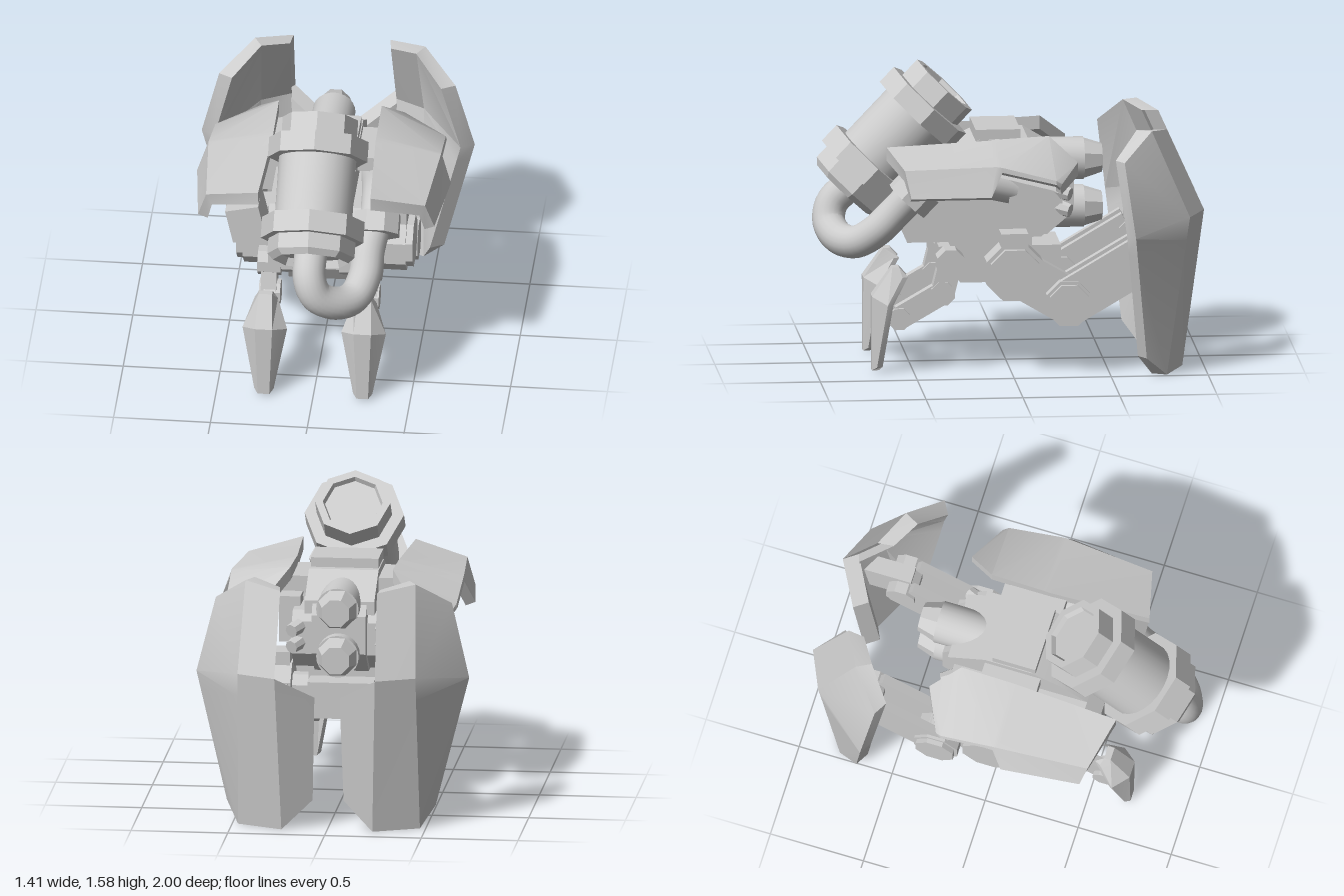
import * as THREE from 'three';
import { toCreasedNormals } from 'three/addons/utils/BufferGeometryUtils.js';

const OCT = 1 / Math.cos(Math.PI / 8); // flat-to-flat radius -> corner radius

export function createModel() {
  const model = new THREE.Group();
  const grey = new THREE.MeshStandardMaterial({ color: 0xcccccc });

  const add = (name, geo, parent = model) => {
    const mesh = new THREE.Mesh(toCreasedNormals(geo, 0.4), grey);
    mesh.name = name;
    parent.add(mesh);
  };

  // Mirror across x = 0 and restore the corner order
  const mirror = (geo) => {
    const g = geo.index ? geo.toNonIndexed() : geo.clone();
    g.scale(-1, 1, 1);
    const p = g.attributes.position;
    const a = new THREE.Vector3(), b = new THREE.Vector3();
    for (let i = 0; i < p.count; i += 3) {
      a.fromBufferAttribute(p, i + 1);
      b.fromBufferAttribute(p, i + 2);
      p.setXYZ(i + 1, b.x, b.y, b.z);
      p.setXYZ(i + 2, a.x, a.y, a.z);
    }
    return g;
  };
  const pair = (name, geo) => {
    add(name + 'Left', geo);
    add(name + 'Right', mirror(geo));
  };

  const box = (x0, x1, y0, y1, z0, z1) =>
    new THREE.BoxGeometry(x1 - x0, y1 - y0, z1 - z0).translate((x0 + x1) / 2, (y0 + y1) / 2, (z0 + z1) / 2);

  // Octagonal pin lying along x
  const pin = (x0, x1, y, z, r) =>
    new THREE.CylinderGeometry(r * OCT, r * OCT, x1 - x0, 8).rotateY(Math.PI / 8)
      .rotateZ(Math.PI / 2).translate((x0 + x1) / 2, y, z);

  // Flat bar between two [y, z] points
  const bar = (x0, x1, [y0, z0], [y1, z1], w) =>
    new THREE.BoxGeometry(x1 - x0, w, Math.hypot(y1 - y0, z1 - z0))
      .rotateX(Math.atan2(y0 - y1, z1 - z0))
      .translate((x0 + x1) / 2, (y0 + y1) / 2, (z0 + z1) / 2);

  // Faceted armour sheet: a grid of points, thickened by one offset per column
  const shell = (grid, offsets) => {
    const back = grid.map((row) => row.map((p, j) => p.map((v, k) => v + offsets[j][k])));
    const out = [];
    const quad = (a, b, c, d) => out.push(...a, ...b, ...d, ...b, ...c, ...d);
    const n = grid.length - 1, m = grid[0].length - 1;
    for (let i = 0; i < n; i++) for (let j = 0; j < m; j++) {
      quad(grid[i][j], grid[i][j + 1], grid[i + 1][j + 1], grid[i + 1][j]);
      quad(back[i][j + 1], back[i][j], back[i + 1][j], back[i + 1][j + 1]);
    }
    const rim = [];
    for (let j = 0; j < m; j++) rim.push([0, j]);
    for (let i = 0; i < n; i++) rim.push([i, m]);
    for (let j = m; j > 0; j--) rim.push([n, j]);
    for (let i = n; i > 0; i--) rim.push([i, 0]);
    rim.forEach(([i, j], k) => {
      const [u, v] = rim[(k + 1) % rim.length];
      quad(grid[u][v], grid[i][j], back[i][j], back[u][v]);
    });
    const g = new THREE.BufferGeometry();
    g.setAttribute('position', new THREE.Float32BufferAttribute(out, 3));
    return g;
  };

  // Extrude a [z, y] side profile across the width
  const slab = (profile, halfWidth) => {
    const s = new THREE.Shape(profile.map(([z, y]) => new THREE.Vector2(-z, y)));
    return new THREE.ExtrudeGeometry(s, { depth: halfWidth * 2, bevelEnabled: false })
      .translate(0, 0, -halfWidth).rotateY(Math.PI / 2);
  };

  // Body
  add('lowerBody', slab([[0.53, 0.73], [0.53, 0.93], [0.45, 1], [-0.22, 1], [-0.27, 0.95],
    [-0.27, 0.78], [-0.16, 0.69], [0.1, 0.69]], 0.25));
  add('upperBody', slab([[0.45, 1], [0.3, 1.12], [0.15, 1.19], [-0.1, 1.19], [-0.3, 1.07], [-0.3, 1]], 0.18));
  add('rearCore', slab([[0, 1.1], [-0.28, 1.08], [-0.34, 1], [-0.34, 0.8], [-0.2, 0.68], [0, 0.68]], 0.14));
  add('chinPlate', slab([[0.53, 0.67], [0.53, 0.73], [0.1, 0.73], [0.1, 0.67]], 0.25));
  add('neck', box(-0.18, 0.18, 0.6, 0.72, -0.12, 0.3));
  add('bellyBlock', slab([[0.36, 0.63], [0.25, 0.44], [-0.27, 0.44], [-0.27, 0.63]], 0.17));
  add('topHatch', box(-0.175, 0.175, 1.17, 1.24, -0.06, 0.17));
  pair('sideBox', box(0.22, 0.33, 0.81, 1.05, -0.14, 0.01));
  pair('shoulderMount', box(0.16, 0.34, 1.07, 1.15, -0.1, 0.2));

  // Rear thrusters
  for (const y of [1.05, 0.8]) {
    add('thruster', new THREE.CylinderGeometry(0.11, 0.11, 0.26, 24).rotateX(-Math.PI / 2).translate(0, y, -0.27));
    add('thrusterNozzle', new THREE.CylinderGeometry(0.07 * OCT, 0.1 * OCT, 0.1, 8).rotateY(Math.PI / 8)
      .rotateX(-Math.PI / 2).translate(0, y, -0.445));
  }
  for (const y of [0.92, 0.835]) {
    pair('sideNozzle', new THREE.CylinderGeometry(0.035, 0.045, 0.12, 8).rotateX(-Math.PI / 2 - 0.2)
      .rotateY(-0.5).translate(0.22, y, -0.26));
  }

  // Tilted canister, built downward from its top end
  const canister = new THREE.Group();
  canister.name = 'canister';
  canister.position.set(0, 1.445, 0.315);
  canister.rotation.x = -0.76;
  model.add(canister);
  const turned = (name, pts) => add(name, new THREE.LatheGeometry(
    pts.map(([r, d]) => new THREE.Vector2(r, -d)), 8), canister);
  add('canisterBarrel', new THREE.CylinderGeometry(0.2, 0.2, 0.5, 24).translate(0, -0.37, 0), canister);
  turned('canisterTop', [[0, 0.2], [0.195, 0.2], [0.195, 0], [0.155, 0], [0.145, 0.025], [0, 0.025]]);
  turned('upperCollar', [[0, 0.215], [0.257, 0.215], [0.257, 0.11], [0, 0.11]]);
  turned('lowerCollar', [[0, 0.64], [0.265, 0.64], [0.265, 0.53], [0, 0.53]]);
  turned('canisterBase', [[0, 0.71], [0.18, 0.71], [0.195, 0.75], [0.225, 0.72], [0.225, 0.6], [0, 0.6]]);

  // Feed hose looping from the canister to the left side
  const hosePath = new THREE.CatmullRomCurve3([
    [0, 0.95, 0.78], [0, 0.84, 0.895], [0.04, 0.745, 0.915], [0.14, 0.68, 0.87], [0.22, 0.675, 0.79],
    [0.265, 0.74, 0.69], [0.275, 0.84, 0.59], [0.3, 0.95, 0.48], [0.3, 1.01, 0.33], [0.28, 0.99, 0.15], [0.25, 0.95, -0.02],
  ].map((p) => new THREE.Vector3(...p)));
  add('hose', new THREE.TubeGeometry(hosePath, 60, 0.085, 20));
  add('hoseClamp', new THREE.CylinderGeometry(0.125, 0.125, 0.11, 8).rotateY(Math.PI / 8)
    .rotateX(-0.76).translate(0.31, 0.94, 0.5));
  add('sideBlock', new THREE.BoxGeometry(0.175, 0.19, 0.2).rotateZ(0.22).translate(-0.375, 0.85, 0.33));

  // Shoulder armour with a folded outer flap
  pair('shoulderArmour', shell([
    [[0.29, 1.18, 0.64], [0.565, 1.11, 0.57], [0.61, 0.97, 0.54]],
    [[0.265, 1.2, 0.12], [0.6, 1.13, 0.1], [0.655, 0.98, 0.13]],
    [[0.265, 1.205, 0.08], [0.6, 1.125, 0.07], [0.605, 1.1, 0.07]],
    [[0.265, 1.22, -0.2], [0.595, 1.05, -0.21], [0.6, 1.03, -0.21]],
    [[0.37, 1.1, -0.34], [0.58, 1.03, -0.24], [0.585, 1.01, -0.23]],
  ], [[0, -0.07, 0], [-0.03, -0.06, 0], [-0.05, -0.02, 0]]));

  // Rear legs
  const hip = [0.535, -0.01], knee = [0.37, -0.29], ankle = [0.6, -0.68];
  pair('hipAxle', pin(0.1, 0.3, ...hip, 0.08));
  pair('hipMount', box(0.28, 0.42, 0.58, 0.74, -0.08, 0.06));
  pair('hip', pin(0.27, 0.42, ...hip, 0.145));
  pair('hipCap', pin(0.42, 0.455, ...hip, 0.125));
  pair('thigh', bar(0.29, 0.36, hip, knee, 0.24));
  pair('knee', pin(0.21, 0.425, ...knee, 0.115));
  pair('kneeCap', pin(0.425, 0.45, ...knee, 0.1));
  pair('innerShin', bar(0.235, 0.285, knee, ankle, 0.24));
  pair('outerShin', bar(0.365, 0.41, knee, ankle, 0.24));
  pair('ankle', pin(0.22, 0.43, ...ankle, 0.075));
  pair('ankleBracket', box(0.28, 0.37, 0.5, 0.7, -0.9, -0.64));

  // Tall folded rear leg shields
  pair('legShield', shell([
    [[0.25, 1.24, -0.81], [0.25, 1.24, -0.81], [0.44, 1.27, -0.715], [0.61, 1.14, -0.56]],
    [[0.26, 0.82, -1], [0.26, 0.82, -1], [0.46, 0.82, -0.91], [0.705, 0.76, -0.61]],
    [[0.065, 0.7, -0.885], [0.256, 0.7, -0.984], [0.461, 0.7, -0.892], [0.681, 0.664, -0.62]],
    [[0.08, 0.145, -0.83], [0.235, 0, -0.89], [0.47, 0, -0.79], [0.54, 0.1, -0.68]],
  ], [[0.05, 0, 0.07], [0.01, 0, 0.085], [-0.04, 0, 0.075], [-0.07, 0, 0.04]]));

  // Front legs
  const shoulder = [0.57, 0.31], elbow = [0.41, 0.35], wrist = [0.28, 0.575];
  pair('frontAxle', pin(0.1, 0.22, ...shoulder, 0.05));
  pair('frontShoulder', pin(0.2, 0.32, ...shoulder, 0.07));
  pair('upperArm', bar(0.22, 0.3, shoulder, elbow, 0.12));
  pair('elbow', pin(0.2, 0.31, ...elbow, 0.06));
  pair('forearm', bar(0.225, 0.285, elbow, wrist, 0.12));
  pair('wrist', pin(0.2, 0.31, ...wrist, 0.055));
  pair('wristBracket', bar(0.225, 0.285, wrist, [0.31, 0.66], 0.1));

  // Pointed front foot shields
  const footRow = (wide, mid, yEdge, zEdge, y, z) => [
    [0.255 + wide, yEdge, zEdge], [0.255 + mid, y, z], [0.255 - mid, y, z], [0.255 - wide, yEdge, zEdge]];
  pair('frontFoot', shell([
    footRow(0.06, 0.035, 0.5, 0.56, 0.55, 0.61),
    footRow(0.115, 0.045, 0.365, 0.64, 0.4, 0.715),
    footRow(0.05, 0.03, 0.03, 0.69, 0.012, 0.715),
  ], [[-0.015, 0, -0.03], [0, 0, -0.035], [0, 0, -0.035], [0.015, 0, -0.03]]));

  return model;
}
